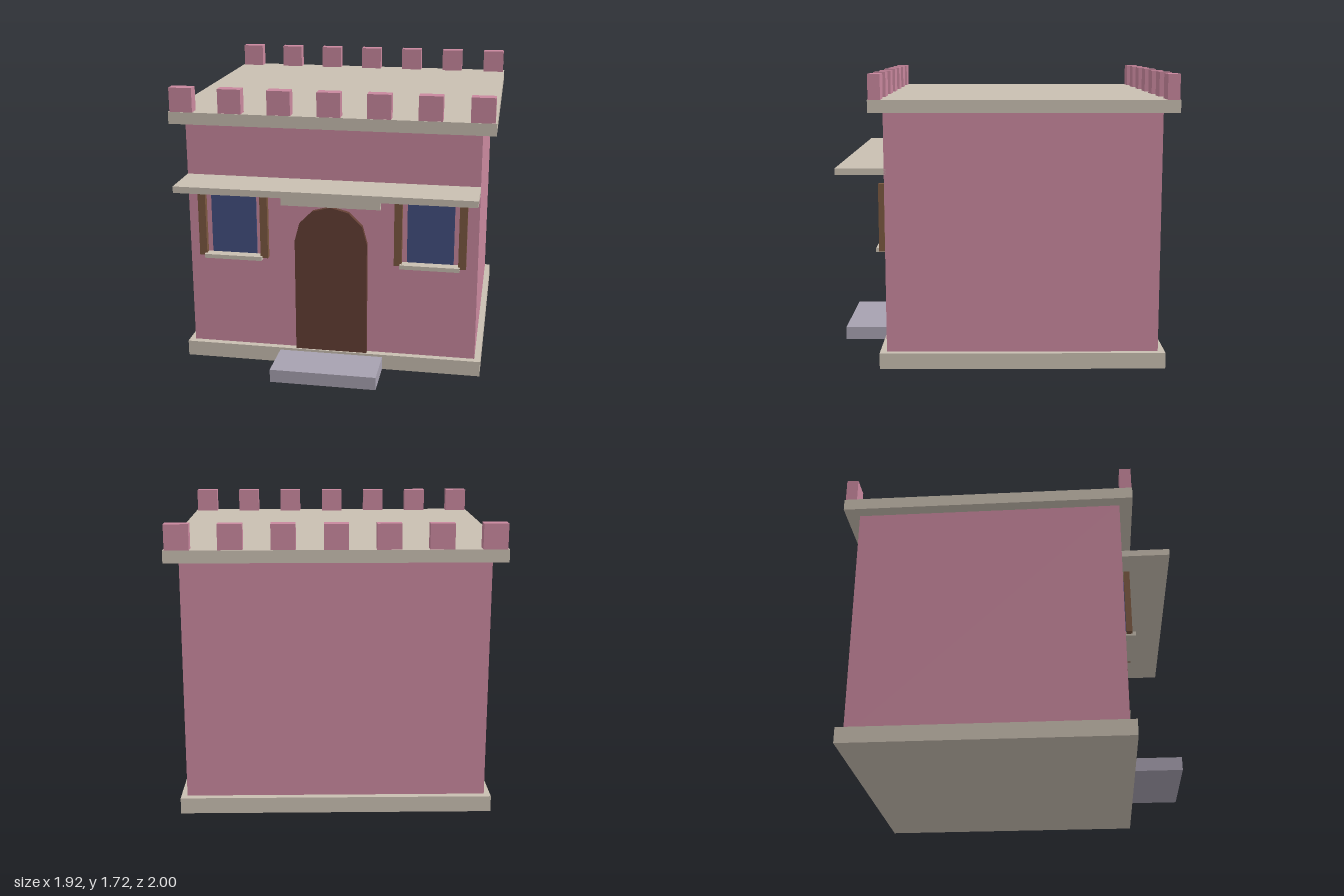
import * as THREE from 'three';

const mat = (name, color) => {
  const m = new THREE.MeshStandardMaterial({ color });
  m.name = name;
  return m;
};

export function createModel() {
  const pink = mat('pink plaster', 0xc9889e);
  const stone = mat('pale stone', 0xc9bfb1);
  const slate = mat('step grey', 0xa7a1b0);
  const glass = mat('window blue', 0x434f80);
  const doorWood = mat('door brown', 0x633f34);
  const shutterWood = mat('shutter brown', 0x7b5840);

  const house = new THREE.Group();
  house.name = 'house';

  // Box given by its lower and upper limits on each axis
  const box = (name, material, [x0, x1], [y0, y1], [z0, z1], parent = house) => {
    const mesh = new THREE.Mesh(new THREE.BoxGeometry(x1 - x0, y1 - y0, z1 - z0), material);
    mesh.position.set((x0 + x1) / 2, (y0 + y1) / 2, (z0 + z1) / 2);
    mesh.name = name;
    parent.add(mesh);
    return mesh;
  };

  // Main masses
  box('plinth', stone, [-0.916, 0.916], [0, 0.095], [-0.957, 0.72]);
  box('walls', pink, [-0.88, 0.88], [0.05, 1.52], [-0.916, 0.68]);
  box('roofSlab', stone, [-0.958, 0.958], [1.506, 1.578], [-1, 0.758]);
  box('frontStep', slate, [-0.32, 0.32], [0, 0.08], [0.7, 1]).position.y += 0.0005;
  box('canopy', stone, [-0.88, 0.88], [1.145, 1.184], [0.67, 0.96]);
  box('doorLintel', stone, [-0.3, 0.3], [1.025, 1.075], [0.67, 0.72]);

  // Battlements along the front and back edges
  const battlements = new THREE.Group();
  battlements.name = 'battlements';
  house.add(battlements);
  for (let i = 0; i < 7; i++) {
    const x = -0.88 + (i * 1.76) / 6;
    for (const z of [0.72, -0.96])
      box('merlon', pink, [x - 0.069, x + 0.069], [1.57, 1.722], [z - 0.035, z + 0.035], battlements);
  }

  // Arched door with a six-sided arch
  const arch = new THREE.Shape();
  arch.moveTo(-0.22, 0.09);
  arch.lineTo(0.22, 0.09);
  for (let i = 0; i <= 6; i++) {
    const a = (i * Math.PI) / 6;
    arch.lineTo(0.22 * Math.cos(a), 0.802 + 0.22 * Math.sin(a));
  }
  arch.closePath();
  const door = new THREE.Mesh(
    new THREE.ExtrudeGeometry(arch, { depth: 0.04, bevelEnabled: false }), doorWood);
  door.position.z = 0.67;
  door.name = 'door';
  house.add(door);

  // Windows with narrow shutters and a sill
  for (const [side, cx] of [['left', 0.598], ['right', -0.598]]) {
    const win = new THREE.Group();
    win.name = side + 'Window';
    win.position.x = cx;
    house.add(win);
    box('pane', glass, [-0.139, 0.139], [0.7, 1.06], [0.681, 0.69], win);
    box('sill', stone, [-0.178, 0.178], [0.672, 0.697], [0.675, 0.744], win);
    for (const s of [-1, 1])
      box('shutter', shutterWood, [s * 0.191 - 0.023, s * 0.191 + 0.023], [0.684, 1.082], [0.688, 0.722], win);
  }
  return house;
}
